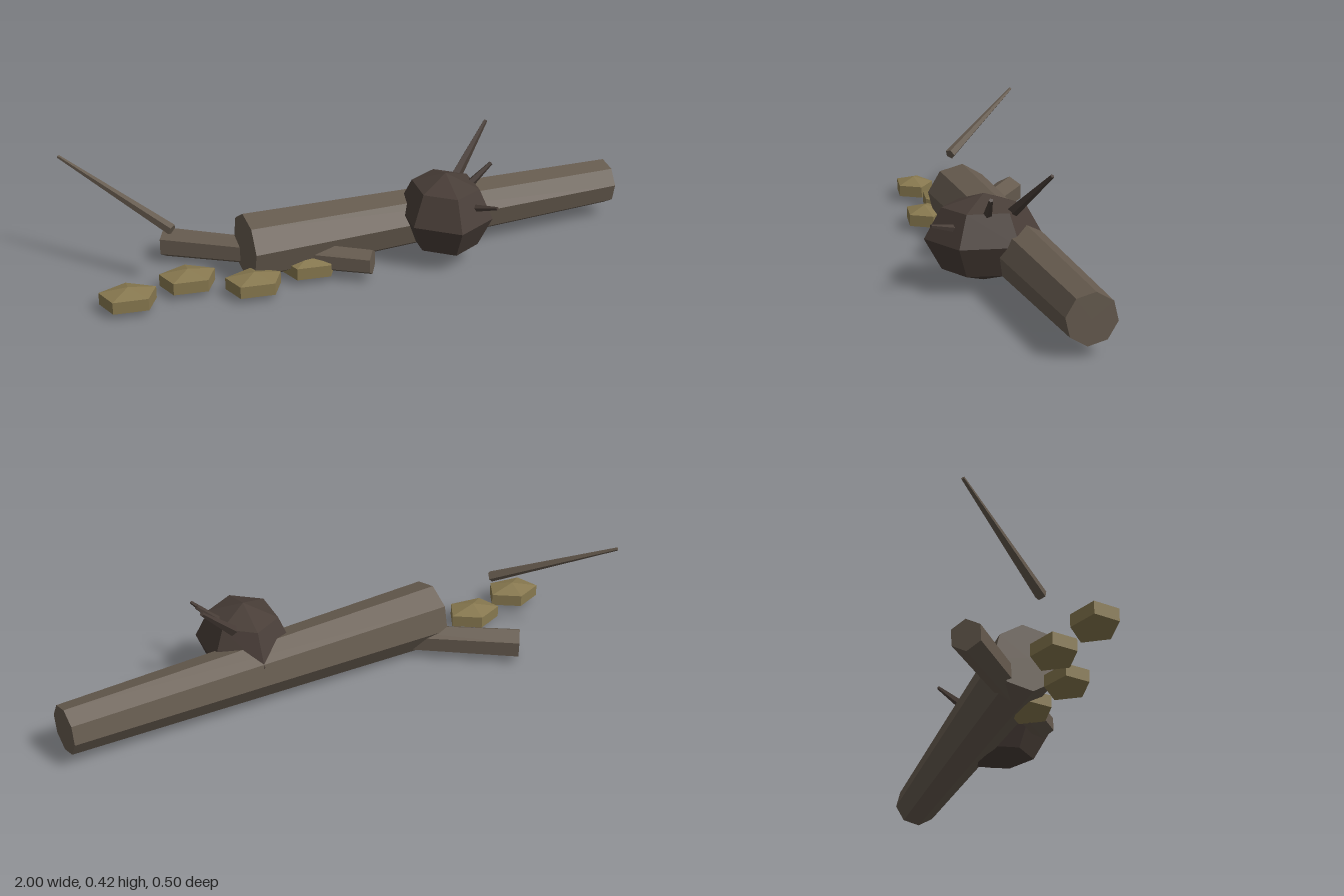
import * as THREE from 'three';

export function createModel() {
  const model = new THREE.Group();
  const paint = (color) => new THREE.MeshStandardMaterial({ color, flatShading: true });
  const bark = paint(0x655a4e);
  const darkBark = paint(0x483d37);
  const stone = paint(0x87784f);

  function add(name, geometry, material, position) {
    const mesh = new THREE.Mesh(geometry, material);
    mesh.name = name;
    mesh.position.copy(position);
    model.add(mesh);
    return mesh;
  }

  // Tapered round timber running from one point to another
  function timber(name, from, to, r0, r1, sides, material) {
    const a = new THREE.Vector3(...from);
    const b = new THREE.Vector3(...to);
    const dir = b.clone().sub(a);
    const mesh = add(name, new THREE.CylinderGeometry(r1, r0, dir.length(), sides), material,
      a.clone().add(b).multiplyScalar(0.5));
    mesh.quaternion.setFromUnitVectors(new THREE.Vector3(0, 1, 0), dir.normalize());
  }

  // Faceted, squashed lump with one corner turned to the back
  function lump(name, position, scale, sides, rings, material) {
    const geometry = new THREE.SphereGeometry(1, sides, rings);
    geometry.rotateY(-Math.PI / 2);
    geometry.scale(...scale);
    add(name, geometry, material, new THREE.Vector3(...position));
  }

  // Fallen logs
  timber('mainLog', [-0.415, 0.118, 0.045], [0.985, 0.118, -0.165], 0.117, 0.083, 8, bark);
  timber('smallLog', [-0.658, 0.06, -0.187], [0, 0.066, 0.168], 0.055, 0.045, 6, bark);

  // Root ball with its root spikes
  lump('rootBall', [0.293, 0.167, 0.05], [0.164, 0.148, 0.197], 6, 4, darkBark);
  timber('longRoot', [0.36, 0.265, -0.032], [0.5, 0.418, -0.137], 0.02, 0.007, 5, darkBark);
  timber('middleRoot', [0.38, 0.262, 0.05], [0.458, 0.335, 0.05], 0.016, 0.007, 5, darkBark);
  timber('frontRoot', [0.368, 0.221, 0.16], [0.418, 0.247, 0.237], 0.013, 0.006, 5, darkBark);

  // Loose branch
  timber('branch', [-0.66, 0.212, 0.045], [-0.996, 0.396, -0.245], 0.02, 0.006, 5, bark);

  // Row of flat stones, alternating near and far
  for (let i = 0; i < 4; i++) {
    lump('stone', [-0.83 + i * 0.21, 0.042, i % 2 ? 0.09 : 0.172], [0.115, 0.042, 0.086], 5, 3, stone);
  }
  return model;
}
